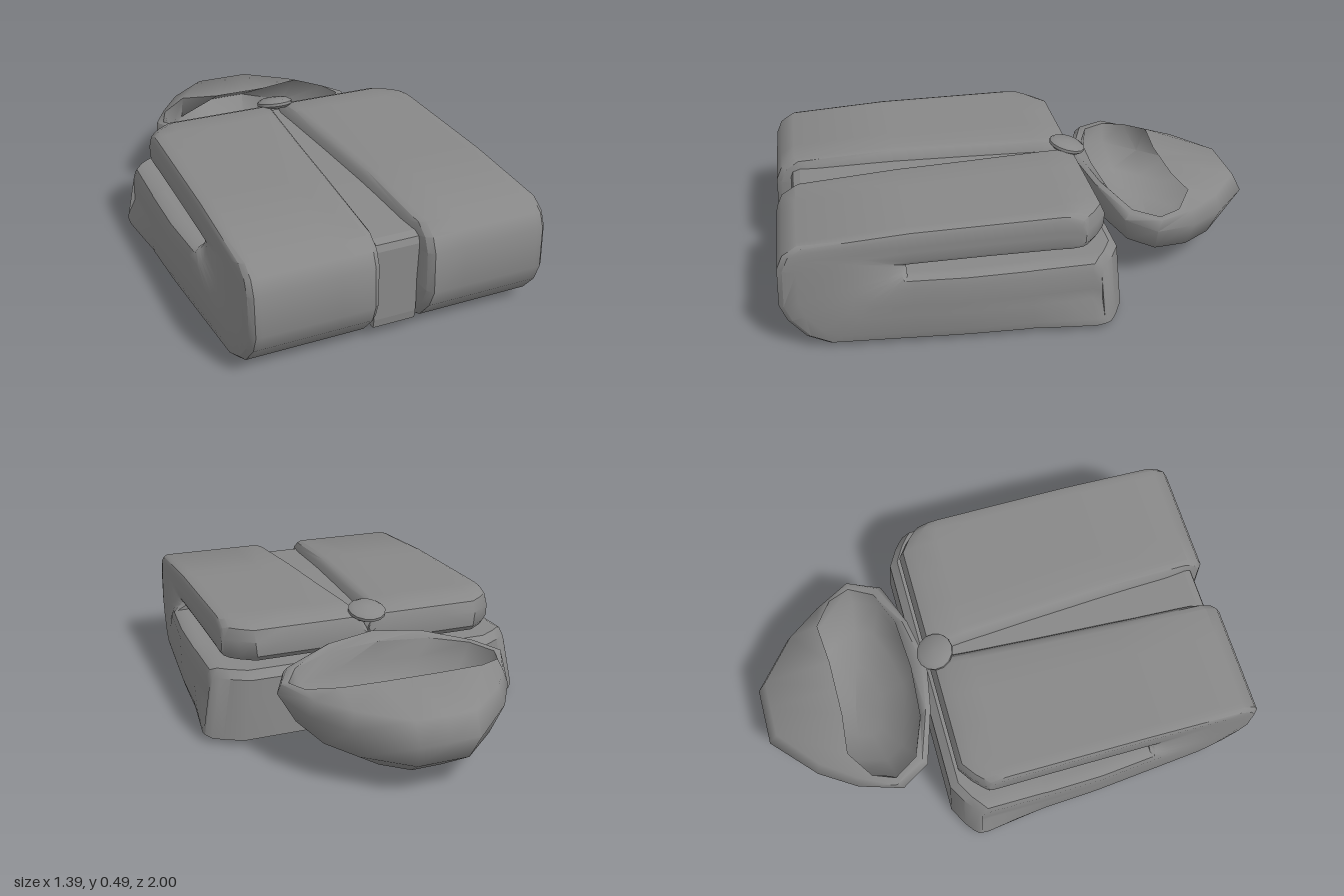
import * as THREE from 'three';
import { toCreasedNormals } from 'three/addons/utils/BufferGeometryUtils.js';

const material = new THREE.MeshStandardMaterial({ color: 0x888888, side: THREE.DoubleSide });
const { clamp, lerp } = THREE.MathUtils;

function addMesh(group, name, geometry) {
  const mesh = new THREE.Mesh(geometry, material);
  mesh.name = name;
  group.add(mesh);
  return mesh;
}

function indexedGeometry(points, index, crease) {
  const geo = new THREE.BufferGeometry();
  geo.setAttribute('position', new THREE.Float32BufferAttribute(points.flat(), 3));
  geo.setIndex(index);
  return toCreasedNormals(geo, crease);
}

// Stations along the folded cloth, lower back -> front fold -> upper back:
// [outer z, outer y, inner z, inner y, share of the lower layer]
const stations = [
  [-0.33, 0.02, -0.315, 0.265, 1], [-0.29, 0.011, -0.28, 0.295, 1], [-0.1, 0.01, -0.1, 0.295, 1],
  [0.05, 0.01, 0.05, 0.295, 1], [0.06, 0.01, 0.06, 0.295, 1], [0.3, 0.01, 0.3, 0.295, 1],
  [0.5, 0.011, 0.5, 0.295, 1], [0.83, 0.013, 0.52, 0.295, 1], [0.91, 0.05, 0.52, 0.3, 0.9],
  [0.975, 0.13, 0.52, 0.304, 0.7], [1, 0.2, 0.52, 0.308, 0.5], [0.99, 0.36, 0.52, 0.315, 0.2],
  [0.965, 0.415, 0.52, 0.32, 0.1], [0.91, 0.45, 0.52, 0.325, 0], [0.5, 0.47, 0.5, 0.325, 0],
  [0.2, 0.47, 0.2, 0.322, 0], [-0.1, 0.47, -0.1, 0.316, 0], [-0.2, 0.466, -0.2, 0.313, 0],
  [-0.25, 0.445, -0.25, 0.318, 0], [-0.27, 0.4, -0.268, 0.34, 0],
];

// Cross-section [u across the width, v through the thickness], rounded at the corners
const outerSection = [
  [0, 0.42], [0, 0.15], [0.012, 0.04], [0.05, 0], [0.3, 0], [0.55, 0],
  [0.8, 0], [0.9, 0], [0.95, 0], [0.985, 0.04], [1, 0.15], [1, 0.42],
];
const section = [...outerSection, ...[...outerSection].reverse().map(([u, v]) => [u, 1 - v])];

// Groove side: tapers to the clasp above, stops midway below; its walls slope inward
function innerEdge(z, v, lower) {
  const slope = 0.03 * Math.min(1, v / 0.4);
  if (lower > 0.5) return z > 0.055 ? 0.09 - slope : -0.05;
  return 0.035 + 0.058 * Math.pow(clamp((z + 0.2) / 0.9, 0, 1), 0.8) - slope;
}

// Outer side: the lower layer flares toward the back and the ground
function outerEdge(z, v, lower) {
  const flare = 0.068 * clamp((1 - z) / 0.75, 0, 1);
  const foot = 0.05 * clamp((0.15 - z) / 0.4, 0, 1) * Math.max(0, 1 - v / 0.42);
  return 0.594 + lower * (flare + foot);
}

function clothHalf(side) {
  const n = section.length;
  const points = [];
  for (const [oz, oy, iz, iy, lower] of stations) {
    for (const [u, v] of section) {
      const y = lerp(oy, iy, v), z = lerp(oz, iz, v);
      const x = lerp(innerEdge(z, v, lower), outerEdge(z, v, lower), u);
      // cut back corners
      const corner = Math.pow(clamp((u - 0.8) / 0.2, 0, 1), 1.3);
      const nearBack = clamp((-z - 0.05) / 0.15, 0, 1);
      points.push([side * x, y, z + 0.1 * corner * nearBack]);
    }
  }
  const index = [];
  const quad = (a, b, c, d) => {
    if (side > 0) index.push(a, b, c, a, c, d);
    else index.push(a, c, b, a, d, c);
  };
  for (let s = 0; s < stations.length - 1; s++) {
    for (let k = 0; k < n; k++) {
      const a = s * n + k, b = s * n + (k + 1) % n;
      quad(a, b, b + n, a + n);
    }
  }
  // back ends of both layers
  const last = (stations.length - 1) * n;
  for (let k = 0; k < n / 2 - 1; k++) {
    quad(k, n - 1 - k, n - 2 - k, k + 1);
    quad(last + k, last + k + 1, last + n - 2 - k, last + n - 1 - k);
  }
  return indexedGeometry(points, index, 0.6);
}

// Recessed strip that closes the groove between the halves
function stripGeometry() {
  const profile = [
    [0, 0.05], [0.85, 0.05], [0.925, 0.055], [0.93, 0.09], [0.93, 0.38], [0.92, 0.405], [0.89, 0.415],
    [0.5, 0.425], [-0.24, 0.425], [-0.24, 0.34], [0.5, 0.34], [0.5, 0.28], [0, 0.28],
  ];
  // the shape's x runs along z, so it is mirrored and then turned
  const shape = new THREE.Shape(profile.map(([z, y]) => new THREE.Vector2(-z, y)));
  const geo = new THREE.ExtrudeGeometry(shape, { depth: 0.17, bevelEnabled: false });
  return geo.translate(0, 0, -0.085).rotateY(Math.PI / 2);
}

// Half outlines [x, y, z] of the hood, from front centre round to back centre
const hoodEdge = [
  [0, 0.385, -0.275], [0.2, 0.37, -0.31], [0.41, 0.31, -0.38], [0.475, 0.28, -0.5],
  [0.41, 0.25, -0.68], [0.31, 0.24, -0.83], [0.12, 0.22, -1], [0, 0.22, -1],
];
const hoodCrown = [
  [0, 0.395, -0.295], [0.2, 0.38, -0.33], [0.4, 0.335, -0.4], [0.465, 0.325, -0.52],
  [0.39, 0.31, -0.67], [0.29, 0.31, -0.81], [0.12, 0.305, -0.955], [0, 0.305, -0.955],
];
const hoodRim = [
  [0, 0.365, -0.345], [0.22, 0.355, -0.36], [0.375, 0.335, -0.42], [0.435, 0.325, -0.52],
  [0.4, 0.33, -0.61], [0.29, 0.35, -0.685], [0.12, 0.34, -0.67], [0, 0.34, -0.67],
];

// Shrinks the hood edge toward its middle at a height sloping from front to back
function hoodRing(scale, frontY, backY) {
  return hoodEdge.map(([x, , z]) => [
    x * scale,
    lerp(frontY, backY, clamp((-0.28 - z) / 0.45, 0, 1)),
    -0.62 + (z + 0.62) * scale,
  ]);
}

function hoodGeometry() {
  const halves = [
    hoodRing(0.001, 0, 0), hoodRing(0.25, 0.025, 0.008), hoodRing(0.5, 0.08, 0.03),
    hoodRing(0.86, 0.2, 0.12), hoodEdge, hoodCrown, hoodRim,
    hoodRing(0.86, 0.28, 0.2), hoodRing(0.65, 0.18, 0.11), hoodRing(0.35, 0.1, 0.07), hoodRing(0.001, 0.06, 0.06),
  ];
  const rings = halves.map((h) => [
    ...h, ...h.slice(1, -1).reverse().map(([x, y, z]) => [-x, y, z]),
  ]);
  const n = rings[0].length;
  const index = [];
  for (let r = 0; r < rings.length - 1; r++) {
    for (let i = 0; i < n; i++) {
      const a = r * n + i, b = r * n + (i + 1) % n;
      index.push(a, b, b + n, a, b + n, a + n);
    }
  }
  return indexedGeometry(rings.flat(), index, 1.2);
}

export function createModel() {
  const model = new THREE.Group();
  model.name = 'foldedHoodedCloak';

  // Cloth
  addMesh(model, 'leftClothHalf', clothHalf(1));
  addMesh(model, 'rightClothHalf', clothHalf(-1));
  addMesh(model, 'centreStrip', stripGeometry());

  // Hood
  addMesh(model, 'hood', hoodGeometry());

  // Clasp button, tilted down toward the hood
  const buttonProfile = [[0, -0.018], [0.062, -0.018], [0.077, -0.006], [0.077, 0.006], [0.058, 0.018], [0, 0.022]]
    .map(([r, y]) => new THREE.Vector2(r, y));
  const button = addMesh(model, 'claspButton', toCreasedNormals(new THREE.LatheGeometry(buttonProfile, 14), 0.6));
  button.position.set(0, 0.462, -0.235);
  button.rotation.x = -0.27;

  return model;
}
